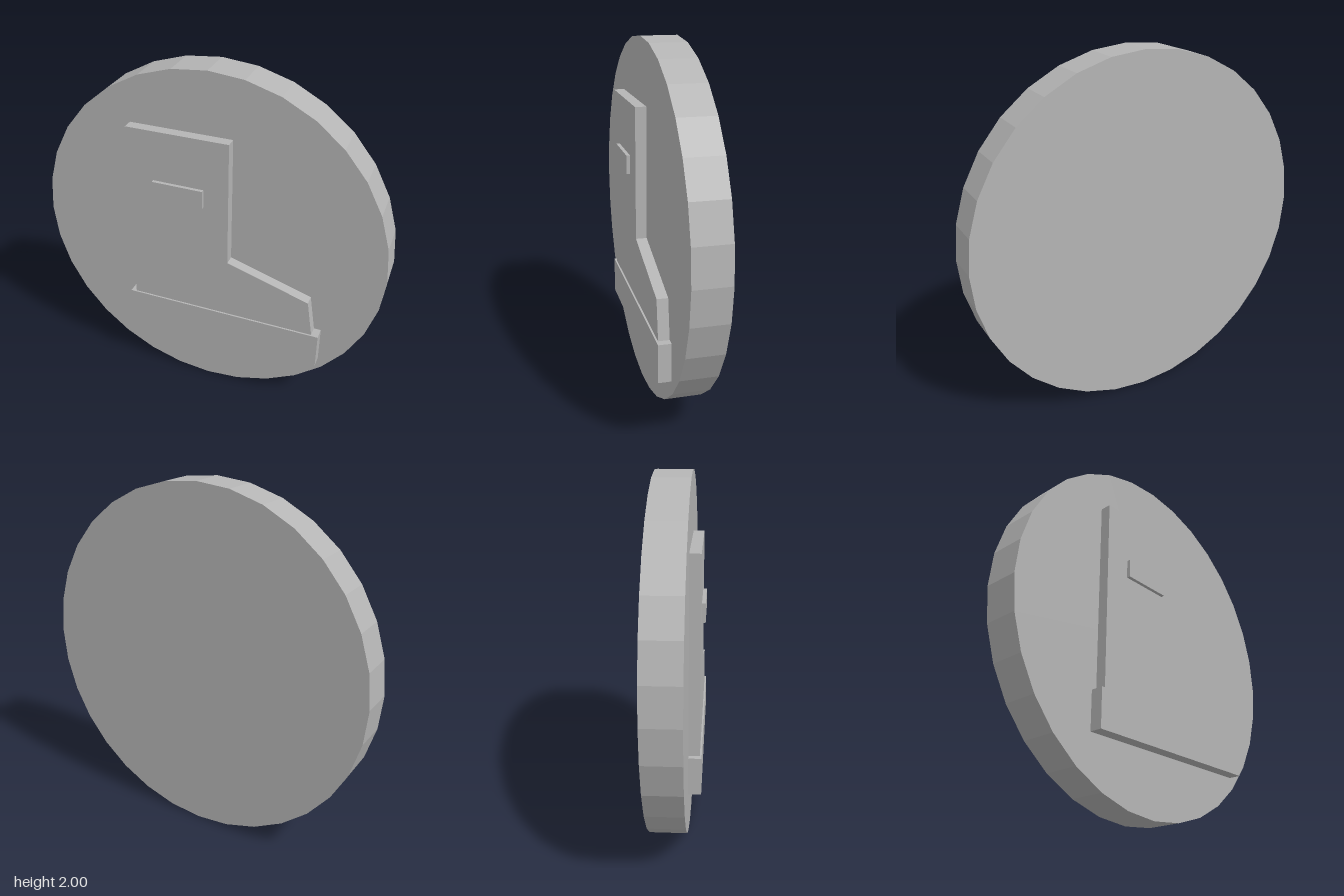
import * as THREE from 'three';

export function createModel() {
  const model = new THREE.Group();
  const grey = new THREE.MeshStandardMaterial({ color: 0xb4b4b4, flatShading: true });
  grey.name = 'plain grey';

  const discFront = 0.06;

  function add(name, geometry, x, y, z) {
    const mesh = new THREE.Mesh(geometry, grey);
    mesh.name = name;
    mesh.position.set(x, y, z);
    model.add(mesh);
  }

  // Plate given by its edges, from z0 to z1
  function addPlate(name, x0, x1, y0, y1, z0, z1) {
    add(name, new THREE.BoxGeometry(x1 - x0, y1 - y0, z1 - z0),
      (x0 + x1) / 2, (y0 + y1) / 2, (z0 + z1) / 2);
  }

  // Upright round disc
  const disc = new THREE.CylinderGeometry(1, 1, 0.2, 32);
  disc.rotateX(Math.PI / 2);
  add('disc', disc, 0, 1, discFront - 0.1);

  // Raised boot silhouette
  const outline = [[-0.44, 0.57], [0.645, 0.57], [0.61, 0.785], [0.14, 0.93], [0.14, 1.655], [-0.44, 1.655]];
  const shape = new THREE.Shape(outline.map(([x, y]) => new THREE.Vector2(x, y)));
  add('boot', new THREE.ExtrudeGeometry(shape, { depth: 0.06, bevelEnabled: false }), 0, 0, discFront);

  // Thick sole and small strap
  addPlate('sole', -0.47, 0.685, 0.355, 0.57, discFront, 0.13);
  addPlate('strap', -0.29, 0, 1.26, 1.365, 0.12, 0.14);

  return model;
}
